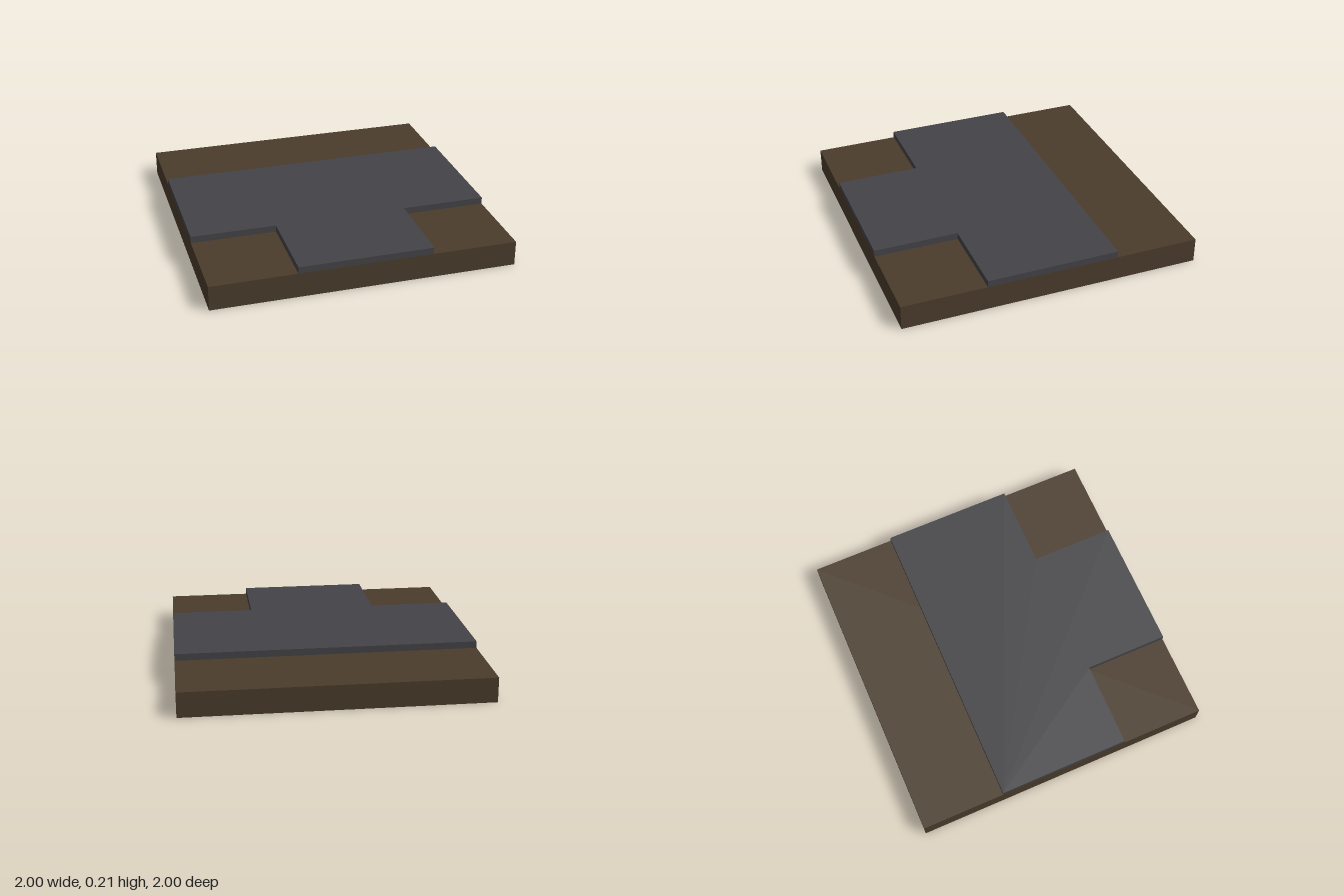
import * as THREE from 'three';

const GROUND_TOP = 0.165;
const ROAD_HEIGHT = 0.045;
const HALF_ROAD = 0.44;

export function createModel() {
  const model = new THREE.Group();
  model.name = 'roadJunctionTile';

  const soil = new THREE.MeshStandardMaterial({ color: 0x4a3c2b });
  soil.name = 'brown soil';
  const asphalt = new THREE.MeshStandardMaterial({ color: 0x444347 });
  asphalt.name = 'dark grey asphalt';

  // Square ground slab
  const ground = new THREE.Mesh(new THREE.BoxGeometry(2, GROUND_TOP, 2), soil);
  ground.name = 'ground';
  ground.position.y = GROUND_TOP / 2;
  model.add(ground);

  // T-shaped road: a cross street with one branch to the front (shape y is -z)
  const h = HALF_ROAD;
  const outline = new THREE.Shape(
    [[-1, h], [-1, -h], [-h, -h], [-h, -1], [h, -1], [h, -h], [1, -h], [1, h]]
      .map(([x, y]) => new THREE.Vector2(x, y))
  );
  const roadGeometry = new THREE.ExtrudeGeometry(outline, { depth: ROAD_HEIGHT, bevelEnabled: false });
  roadGeometry.rotateX(-Math.PI / 2);
  const road = new THREE.Mesh(roadGeometry, asphalt);
  road.name = 'road';
  road.position.y = GROUND_TOP;
  model.add(road);

  return model;
}
